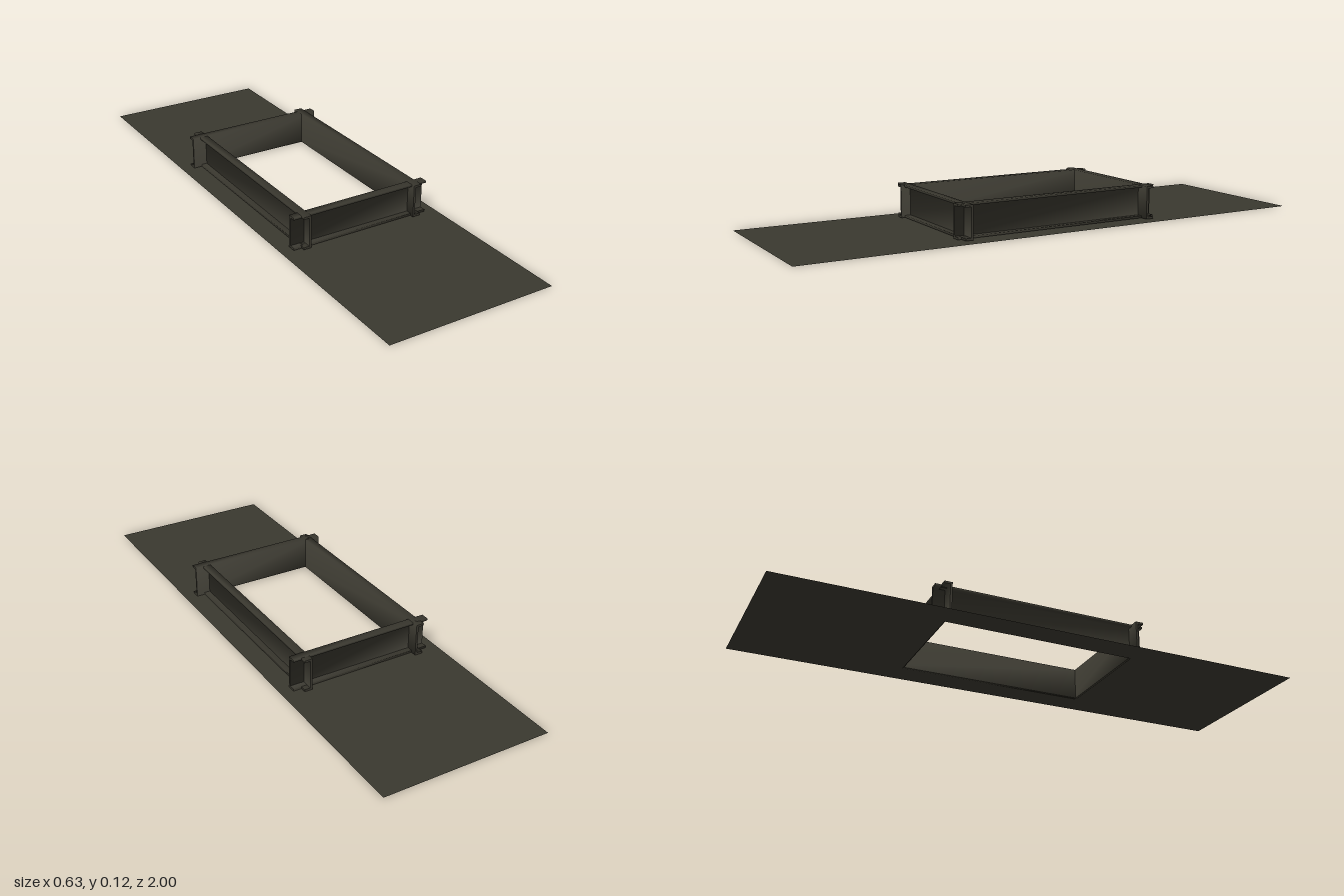
import * as THREE from 'three';
import { toCreasedNormals } from 'three/addons/utils/BufferGeometryUtils.js';

const steel = new THREE.MeshStandardMaterial({ color: 0x3a382f, side: THREE.DoubleSide });
steel.name = 'dark steel';

// C-shaped channel, inner face on x = 0, opening towards +x, running along z
function channelGeometry(length) {
  const width = 0.03, height = 0.122, web = 0.008, flange = 0.008;
  const profile = new THREE.Shape([
    [0, 0], [width, 0], [width, flange], [web, flange],
    [web, height - flange], [width, height - flange], [width, height], [0, height],
  ].map(([x, y]) => new THREE.Vector2(x, y)));
  const geometry = new THREE.ExtrudeGeometry(profile, { depth: length, bevelEnabled: false });
  geometry.translate(0, 0, -length / 2);

  // soft shading round the section, flat ends
  const [caps, sides] = geometry.groups;
  const sidePositions = geometry.attributes.position.array.slice(sides.start * 3, (sides.start + sides.count) * 3);
  let wall = new THREE.BufferGeometry();
  wall.setAttribute('position', new THREE.BufferAttribute(sidePositions, 3));
  wall.computeVertexNormals();
  wall = toCreasedNormals(wall, 1.7);
  geometry.attributes.normal.array.set(wall.attributes.normal.array, sides.start * 3);
  geometry.clearGroups();
  geometry.setDrawRange(0, caps.count + sides.count);
  return geometry;
}

function beam(name, length, x, z, turn) {
  const mesh = new THREE.Mesh(channelGeometry(length), steel);
  mesh.name = name;
  mesh.position.set(x, 0.003, z);
  mesh.rotation.y = turn;
  return mesh;
}

export function createModel() {
  const model = new THREE.Group();
  model.name = 'framedOpening';

  // flat sheet with a rectangular opening
  const outline = (x, y0, y1) => [[-x, y0], [x, y0], [x, y1], [-x, y1]].map(p => new THREE.Vector2(...p));
  const sheet = new THREE.Shape(outline(0.315, -1, 1));
  sheet.holes.push(new THREE.Path(outline(0.215, -0.36, 0.367).reverse()));
  const plate = new THREE.Mesh(new THREE.ShapeGeometry(sheet), steel);
  plate.name = 'basePlate';
  plate.rotation.x = -Math.PI / 2;
  model.add(plate);

  // channels crossing at the corners
  model.add(
    beam('leftBeam', 0.815, 0.211, -0.0075, 0),
    beam('rightBeam', 0.815, -0.211, -0.0075, Math.PI),
    beam('frontBeam', 0.544, 0, 0.356, -Math.PI / 2),
    beam('backBeam', 0.544, 0, -0.363, Math.PI / 2),
  );
  return model;
}
